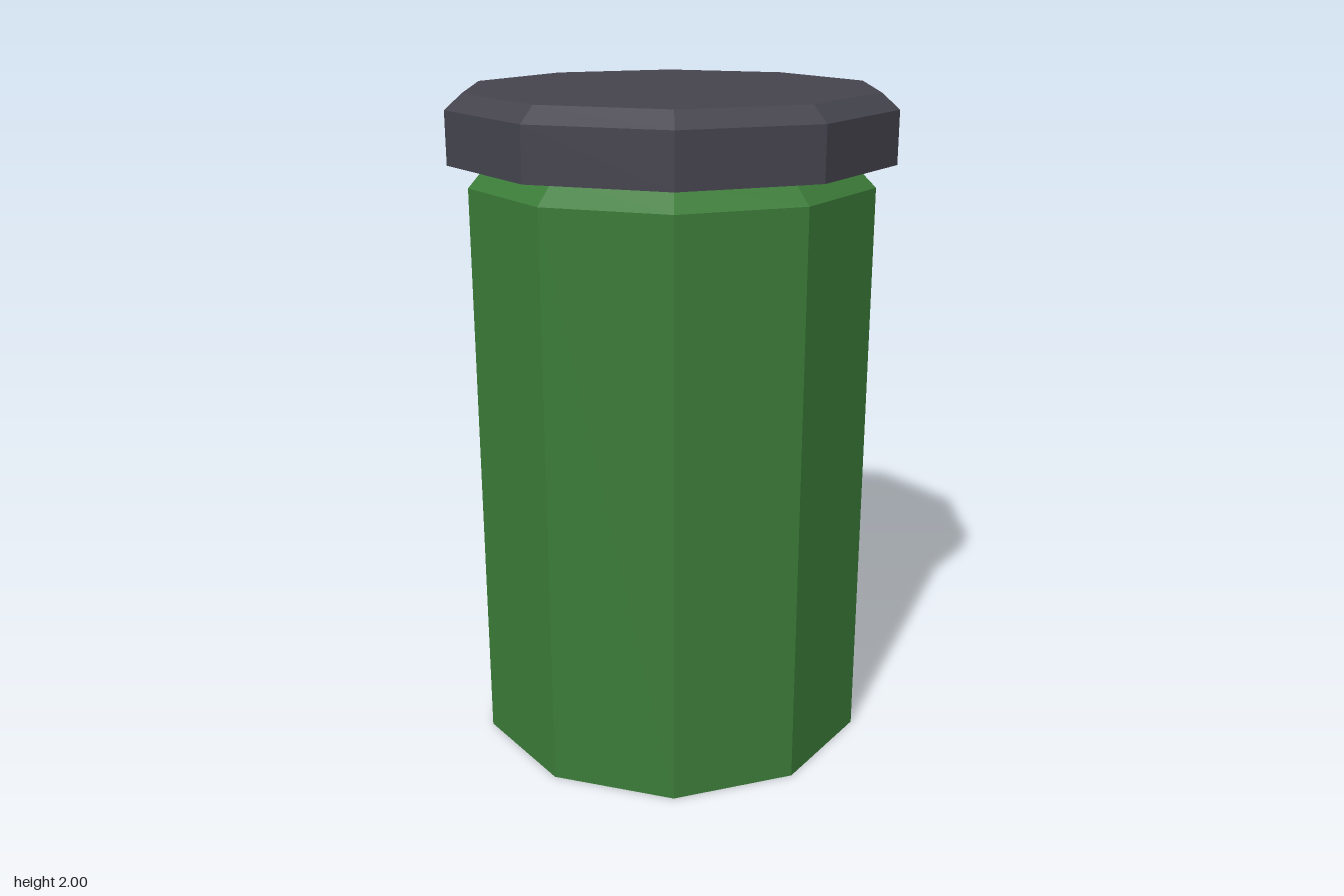
import * as THREE from 'three';

const SIDES = 10;

// Faceted solid of revolution; profile is [radius, y] pairs from bottom to top
function facetedTurning(name, profile, material) {
  const points = profile.map(([r, y]) => new THREE.Vector2(r, y));
  const geometry = new THREE.LatheGeometry(points, SIDES, Math.PI / 2).toNonIndexed();
  geometry.computeVertexNormals();
  const mesh = new THREE.Mesh(geometry, material);
  mesh.name = name;
  return mesh;
}

export function createModel() {
  const green = new THREE.MeshStandardMaterial({ name: 'green', color: 0x3b7b38, flatShading: true });
  const charcoal = new THREE.MeshStandardMaterial({ name: 'charcoal', color: 0x45444e, flatShading: true });

  const model = new THREE.Group();
  model.name = 'jar';

  // Straight body with a sloping shoulder that meets the lid
  model.add(facetedTurning('body', [[0, 0], [0.61, 0], [0.61, 1.735], [0.54, 1.803], [0, 1.803]], green));

  // Wide lid with a bevelled top edge
  model.add(facetedTurning('lid', [[0, 1.802], [0.667, 1.802], [0.667, 1.955], [0.615, 2], [0, 2]], charcoal));

  return model;
}
